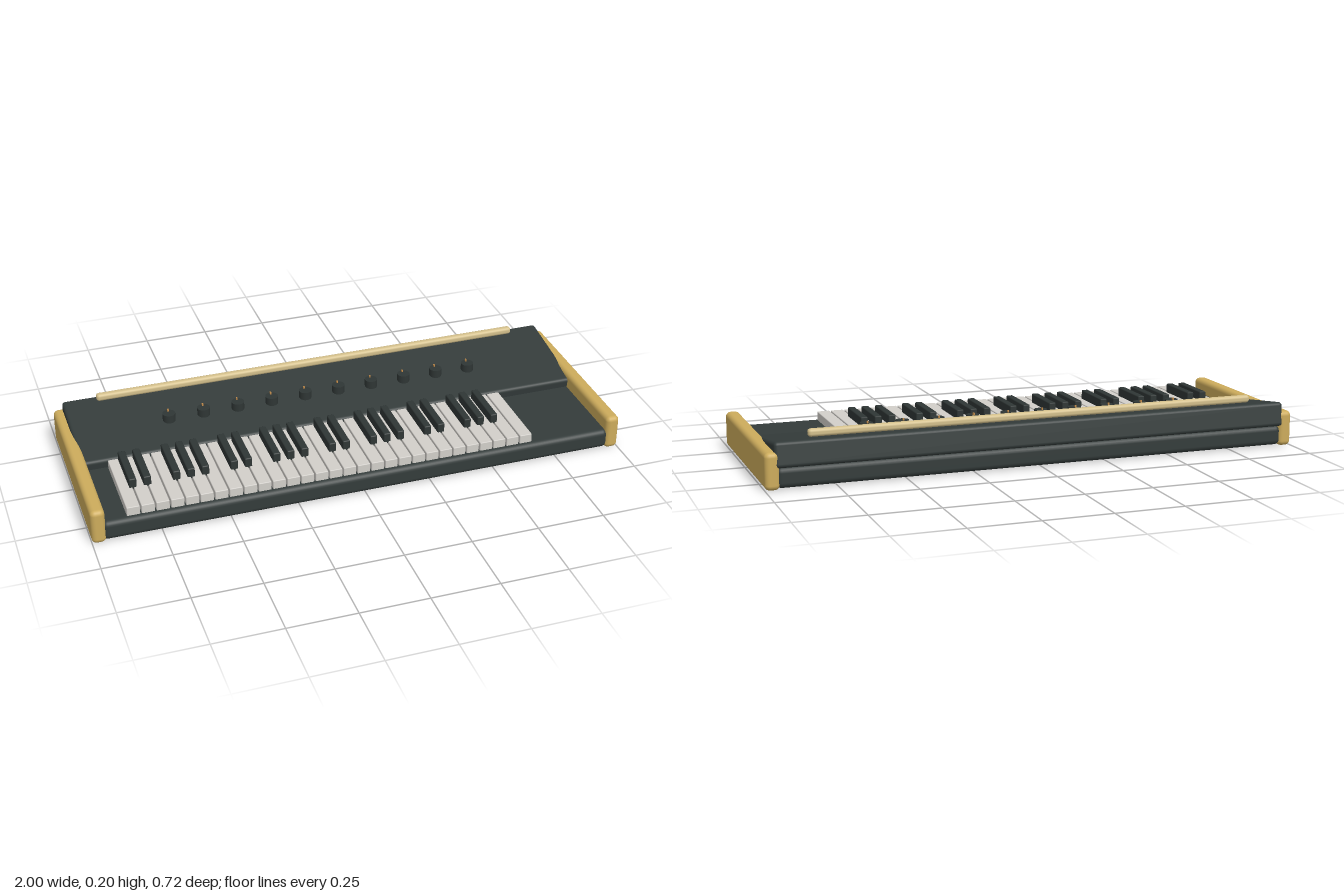
import * as THREE from 'three';
import { RoundedBoxGeometry } from 'three/addons/geometries/RoundedBoxGeometry.js';

const material = (name, color) => {
  const m = new THREE.MeshStandardMaterial({ color });
  m.name = name;
  return m;
};

export function createModel() {
  const model = new THREE.Group();
  model.name = 'keyboardInstrument';
  const charcoal = material('charcoal', 0x343c3b);
  const black = material('black', 0x2f3635);
  const wood = material('goldenWood', 0xcdac5c);
  const cream = material('paleWood', 0xd3bf8b);
  const ivory = material('ivory', 0xd2cfca);
  const brass = material('brass', 0xc08a4a);

  const add = (name, geometry, mat, x, y, z, parent = model) => {
    const mesh = new THREE.Mesh(geometry, mat);
    mesh.name = name;
    mesh.position.set(x, y, z);
    parent.add(mesh);
    return mesh;
  };
  const group = (name) => {
    const g = new THREE.Group();
    g.name = name;
    model.add(g);
    return g;
  };

  // Case: flat base, tilted control panel, wooden end cheeks
  add('base', new RoundedBoxGeometry(1.92, 0.074, 0.712, 3, 0.02), charcoal, 0, 0.041, 0);
  const panel = add('controlPanel', new RoundedBoxGeometry(1.93, 0.09, 0.37, 3, 0.013), charcoal, 0, 0.095, -0.173);
  panel.rotation.x = 0.149;
  const cheek = new RoundedBoxGeometry(0.052, 0.132, 0.72, 3, 0.018);
  for (const side of [-1, 1]) {
    add(side > 0 ? 'leftCheek' : 'rightCheek', cheek, wood, side * 0.974, 0.066, 0);
  }

  // Rail along the back of the panel
  add('rearRail', new RoundedBoxGeometry(1.68, 0.028, 0.028, 3, 0.011), cream, 0, 0.182, -0.311);

  // Knobs with small pointers
  const knobs = group('knobs');
  const knob = new THREE.CylinderGeometry(0.024, 0.024, 0.036, 20);
  const pointer = new THREE.BoxGeometry(0.005, 0.01, 0.008);
  for (let i = 0; i < 10; i++) {
    const x = -0.602 + i * 0.1323;
    add('knob', knob, black, x, 0.146, -0.145, knobs);
    add('knobPointer', pointer, brass, x, 0.167, -0.159, knobs);
  }

  // Keys: four octaves, C to C
  const whiteKeys = group('whiteKeys');
  const blackKeys = group('blackKeys');
  const start = -0.872, pitch = 0.0527;
  const white = new RoundedBoxGeometry(pitch - 0.005, 0.038, 0.318, 1, 0.003);
  const sharp = new RoundedBoxGeometry(0.027, 0.042, 0.193, 1, 0.004);
  for (let i = 0; i < 29; i++) {
    add('whiteKey', white, ivory, start + (i + 0.5) * pitch, 0.092, 0.176, whiteKeys);
    // A sharp follows every note except the third and seventh
    if (i < 28 && ![2, 6].includes(i % 7)) {
      add('blackKey', sharp, black, start + (i + 1) * pitch, 0.124, 0.12, blackKeys);
    }
  }
  return model;
}
